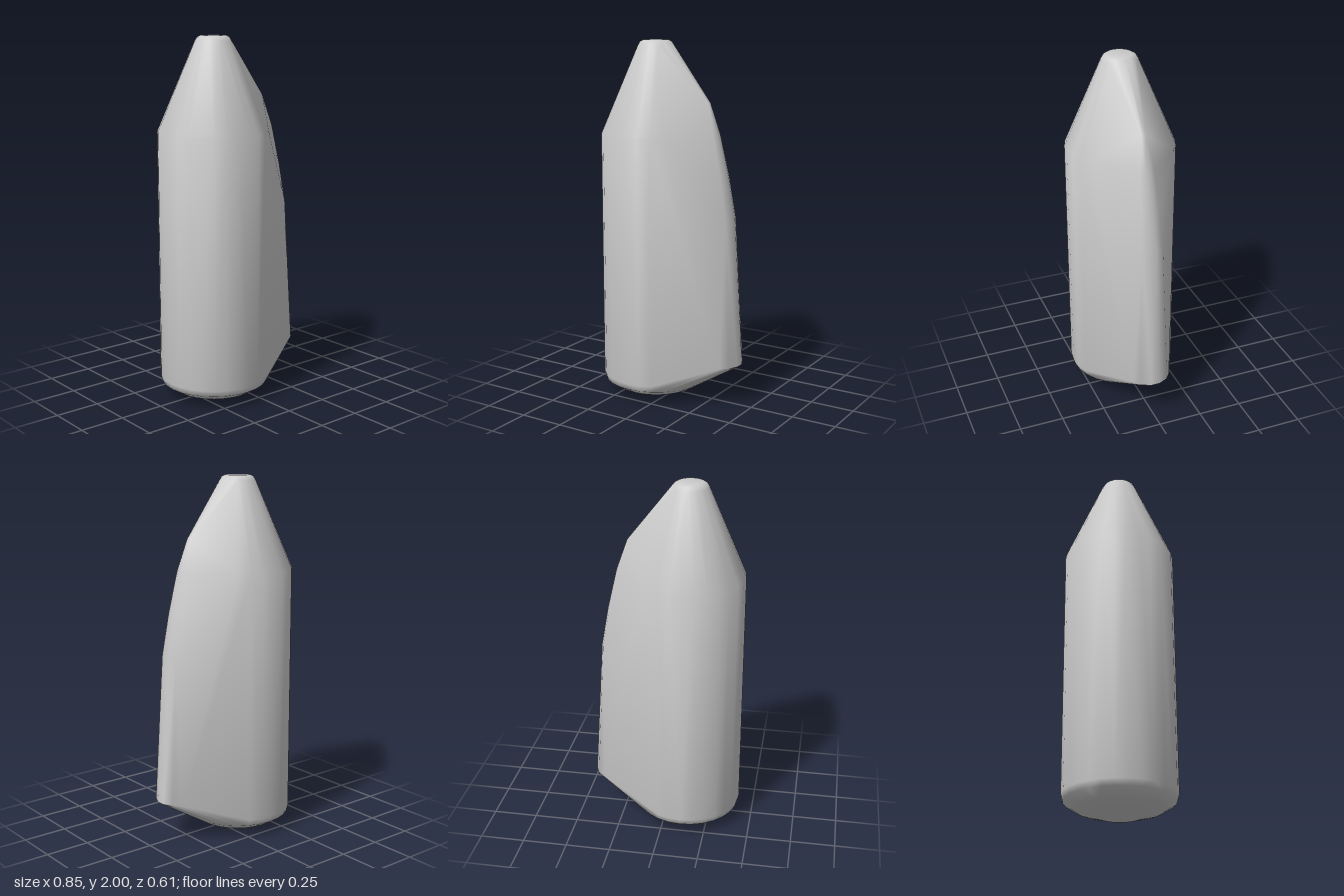
import * as THREE from 'three';
import { ConvexGeometry } from 'three/addons/geometries/ConvexGeometry.js';
import { toCreasedNormals } from 'three/addons/utils/BufferGeometryUtils.js';

const AXIS_X = -0.12; // centre line of the round body
const SIDES = 28;

// Round body: [radius, height] from the base to the blunt nose
const bodyProfile = [
  [0.115, 0], [0.23, 0.035], [0.295, 0.075], [0.305, 0.11],
  [0.305, 1.49], [0.1, 1.97], [0.088, 1.99], [0.07, 2],
];

// Tapering ridge: [height, then x and half width of the points across its rounded edge]
const ridgeSections = [
  [0.23, [0.425, 0.025], [0.4, 0.08], [0.36, 0.11]],
  [1.05, [0.372, 0.02], [0.357, 0.06]],
  [1.27, [0.333, 0.018], [0.32, 0.05]],
  [1.5, [0.28, 0.016], [0.268, 0.04]],
  [1.67, [0.22, 0.012]],
];

export function createModel() {
  const points = [];

  for (const [radius, y] of bodyProfile) {
    for (let i = 0; i < SIDES; i++) {
      const a = (i / SIDES) * Math.PI * 2;
      points.push(new THREE.Vector3(AXIS_X + radius * Math.cos(a), y, radius * Math.sin(a)));
    }
  }

  for (const [y, ...edge] of ridgeSections) {
    for (const [x, z] of edge) {
      points.push(new THREE.Vector3(x, y, z), new THREE.Vector3(x, y, -z));
    }
  }

  // One taut skin stretched over the body and its ridge
  const geometry = toCreasedNormals(new ConvexGeometry(points), 0.9);
  const shell = new THREE.Mesh(geometry, new THREE.MeshStandardMaterial({ color: 0xcccccc }));
  shell.name = 'ridgedShell';

  const model = new THREE.Group();
  model.name = 'taperedBody';
  model.add(shell);
  return model;
}
